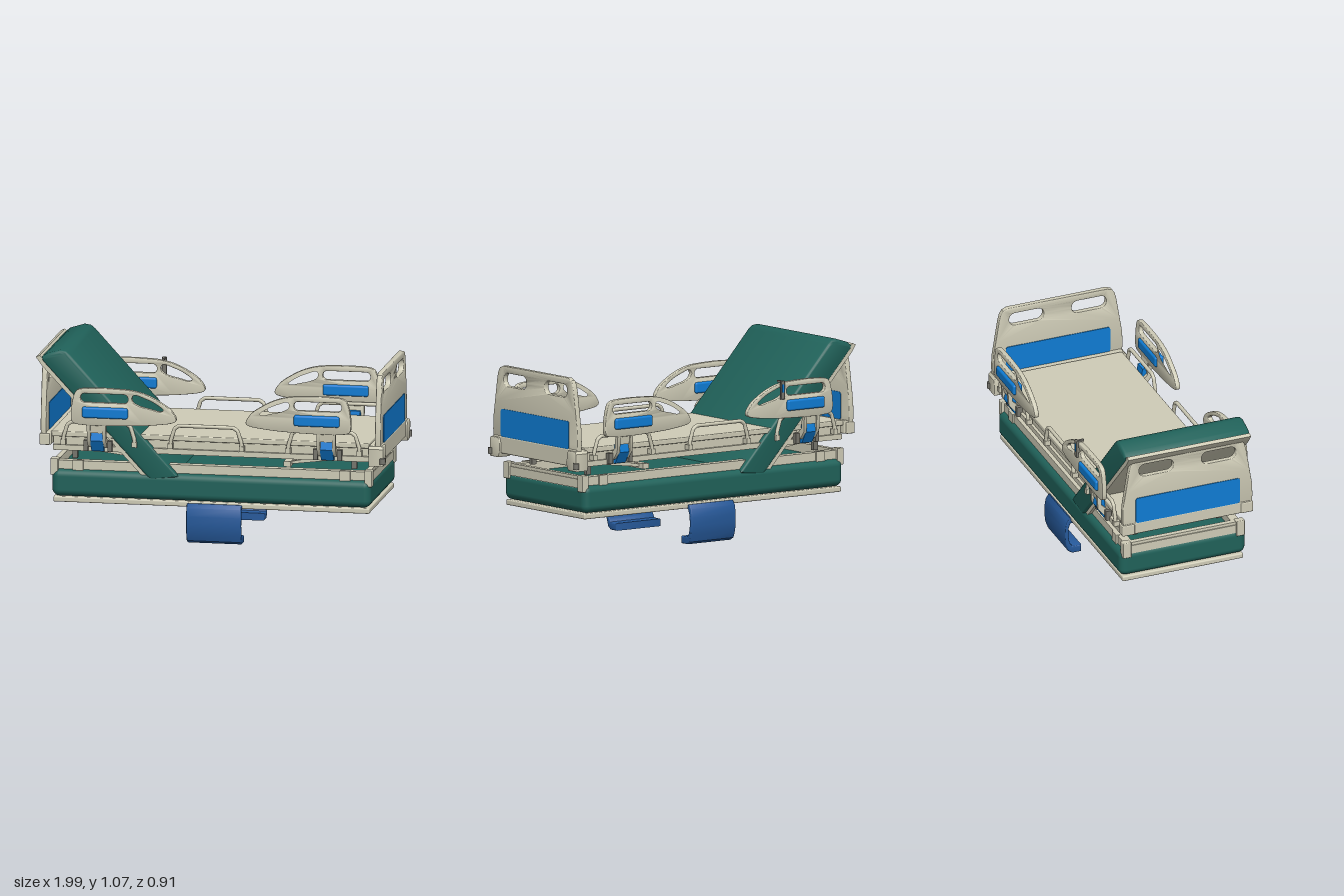
import * as THREE from 'three';
import { toCreasedNormals } from 'three/addons/utils/BufferGeometryUtils.js';
import { RoundedBoxGeometry } from 'three/addons/geometries/RoundedBoxGeometry.js';

const mat = (name, color) => {
  const m = new THREE.MeshStandardMaterial({ color });
  m.name = name;
  return m;
};

export function createModel() {
  const cream = mat('cream', 0xcfccb7), green = mat('mattress green', 0x20625a);
  const blue = mat('bright blue', 0x0f7cd4), navy = mat('strap blue', 0x26599a);
  const grey = mat('bracket grey', 0x77766e);
  const root = new THREE.Group();
  root.name = 'adjustableBed';

  const add = (name, geo, m) => {
    const mesh = new THREE.Mesh(geo, m);
    mesh.name = name;
    root.add(mesh);
    return mesh;
  };
  // box given by its limits, with optional rounded edges
  const box = (name, m, x0, x1, y0, y1, z0, z1, r = 0) => {
    const s = [x1 - x0, y1 - y0, z1 - z0];
    const g = r ? new RoundedBoxGeometry(...s, 4, r) : new THREE.BoxGeometry(...s);
    return add(name, g.translate((x0 + x1) / 2, (y0 + y1) / 2, (z0 + z1) / 2), m);
  };
  const poly = pts => new THREE.Shape(pts.map(p => new THREE.Vector2(...p)));
  const smooth = pts => {
    const c = new THREE.CatmullRomCurve3(pts.map(p => new THREE.Vector3(...p, 0)), true, 'centripetal');
    return new THREE.Shape(c.getPoints(64).slice(0, -1).map(p => new THREE.Vector2(p.x, p.y)));
  };
  const slot = (x0, x1, y0, y1, r) => {
    const s = new THREE.Path();
    s.absarc(x1 - r, y1 - r, r, 0, Math.PI / 2);
    s.absarc(x0 + r, y1 - r, r, Math.PI / 2, Math.PI);
    s.absarc(x0 + r, y0 + r, r, Math.PI, Math.PI * 1.5);
    s.absarc(x1 - r, y0 + r, r, Math.PI * 1.5, Math.PI * 2);
    return s;
  };
  const extrude = (shape, depth, bevel = 0) => {
    const g = new THREE.ExtrudeGeometry(shape, {
      depth: depth - 2 * bevel, bevelEnabled: bevel > 0, bevelSize: bevel, bevelOffset: -bevel,
      bevelThickness: bevel, bevelSegments: 4, curveSegments: 10,
    });
    return toCreasedNormals(g.translate(0, 0, bevel), 0.6);
  };
  // outline in (x, y), from z0 to z1
  const alongZ = (name, m, shape, z0, z1, bevel) => add(name, extrude(shape, z1 - z0, bevel).translate(0, 0, z0), m);
  // outline in (z, y), from x0 to x1
  const alongX = (name, m, shape, x0, x1, bevel) =>
    add(name, extrude(shape, x1 - x0, bevel).rotateY(-Math.PI / 2).translate(x1, 0, 0), m);

  // base board with flush discs underneath
  box('baseBoard', cream, -0.9, 0.9, 0.207, 0.238, -0.365, 0.365, 0.008);
  for (const x of [-0.71, 0.64]) for (const z of [-0.28, 0.28])
    add('baseDisc', new THREE.CylinderGeometry(0.022, 0.022, 0.008, 20).translate(x, 0.205, z), cream);

  // mattress and raised back section
  box('mattress', green, -0.907, 0.907, 0.24, 0.395, -0.38, 0.38, 0.04);
  alongZ('backMattress', green, poly([[-0.18, 0.375], [-0.8, 1.05], [-0.825, 1.07], [-0.86, 1.075],
    [-0.94, 1.05], [-0.965, 1.03], [-0.96, 1.01], [-0.345, 0.35]]), -0.38, 0.38, 0.02);
  alongZ('backBoard', cream, poly([[-0.975, 1.04], [-0.997, 1.03], [-0.965, 0.985], [-0.388, 0.37],
    [-0.345, 0.37], [-0.95, 1.015]]), -0.37, 0.37);

  // hooked strap around the base
  for (const s of [1, -1]) {
    const hook = [[0.3, 0.003], [0.355, 0.003], [0.378, 0.018], [0.393, 0.06], [0.399, 0.11], [0.398, 0.16],
      [0.39, 0.205], [0.372, 0.229], [0.34, 0.226], [0.34, 0.21], [0.362, 0.2], [0.375, 0.165],
      [0.377, 0.11], [0.37, 0.07], [0.355, 0.047], [0.3, 0.045]];
    alongX('strapHook', navy, poly(hook.map(([z, y]) => [z * s, y])), -0.138, 0.175, 0.008);
  }
  box('strapBand', navy, -0.135, 0.17, 0.208, 0.228, -0.36, 0.36);
  box('strapRib', navy, -0.135, -0.115, 0.195, 0.21, -0.365, 0.365);

  // lower frame
  for (const s of [1, -1]) {
    const zz = (a, b) => s > 0 ? [a, b] : [-b, -a];
    box('lowerSideRail', cream, -0.9, 0.9, 0.375, 0.443, ...zz(0.3, 0.35));
    box('lowerEndRail', cream, ...zz(0.87, 0.9), 0.365, 0.447, -0.33, 0.33);
    box('lowerEndRib', cream, ...zz(0.895, 0.906), 0.38, 0.43, -0.325, 0.325);
    for (const t of [1, -1]) {
      const xx = t > 0 ? [0.872, 0.915] : [-0.915, -0.872];
      box('lowerCorner', cream, ...xx, 0.36, 0.455, ...zz(0.318, 0.368), 0.005);
      box('railClip', cream, ...(t > 0 ? [0.73, 0.79] : [-0.79, -0.73]), 0.39, 0.447, ...zz(0.34, 0.36));
      // lifting linkages
      alongZ('liftArm', cream, poly([[0.42, 0.452], [0.42, 0.465], [0.66, 0.515], [0.72, 0.515], [0.72, 0.49]]
        .map(([x, y]) => [x * t, y])), ...zz(0.235, 0.26));
      box('liftPost', grey, ...(t > 0 ? [0.78, 0.81] : [-0.81, -0.78]), 0.44, 0.53, ...zz(0.24, 0.265));
    }
    box('liftCrossbar', cream, ...zz(0.4, 0.44), 0.445, 0.475, -0.3, 0.3);

    // upper frame sides
    box('upperLowerRail', cream, -0.9, 0.9, 0.505, 0.535, ...zz(0.325, 0.372));
    box('upperWeb', cream, -0.9, 0.9, 0.53, 0.59, ...zz(0.335, 0.355));
    box('upperEndBeam', cream, ...zz(0.86, 0.9), 0.5, 0.585, -0.35, 0.35);
  }
  box('deck', cream, -0.91, 0.9, 0.582, 0.612, -0.373, 0.373, 0.006);
  box('deckSpine', cream, -0.88, 0.88, 0.515, 0.585, -0.06, 0.06);

  // end boards with hand slots, blue panels and bumpers
  const endBoard = (name, x, s) => {
    const half = [[0.385, 0.56], [0.393, 0.64], [0.389, 0.72], [0.376, 0.8], [0.355, 0.93],
      [0.345, 0.97], [0.33, 0.993], [0.3, 1.005]];
    const shape = poly([...half, ...half.map(([z, y]) => [-z, y]).reverse()]);
    shape.holes.push(slot(0.085, 0.293, 0.893, 0.967, 0.034), slot(-0.293, -0.085, 0.893, 0.967, 0.034));
    alongX(name, cream, shape, x - 0.016, x + 0.016, 0.005);
    for (const f of [1, -1]) {
      const p = new THREE.Shape(slot(-0.315, 0.315, 0.605, 0.762, 0.015).getPoints(8));
      alongX(name + 'Panel', blue, p, x + f * 0.017 - 0.003, x + f * 0.017 + 0.003);
    }
  };
  endBoard('footBoard', 0.953, 1);
  endBoard('headBoard', -0.95, -1);
  box('footBumper', cream, 0.905, 0.975, 0.51, 0.608, -0.385, 0.385, 0.008);
  box('headBumper', cream, -0.968, -0.905, 0.535, 0.608, -0.385, 0.385, 0.008);
  for (const s of [1, -1]) {
    const zz = (a, b) => s > 0 ? [a, b] : [-b, -a];
    alongX('footCorner', cream, poly([[0.31, 0.515], [0.325, 0.487], [0.398, 0.487], [0.402, 0.585],
      [0.39, 0.6], [0.325, 0.6], [0.312, 0.58]].map(([z, y]) => [z * s, y])), 0.9, 0.986, 0.005);
    box('headCorner', cream, -0.972, -0.915, 0.535, 0.6, ...zz(0.32, 0.395), 0.006);
    add('cornerRoller', new THREE.CylinderGeometry(0.016, 0.016, 0.036, 20).translate(0.981, 0.517, s * 0.394), grey);
  }

  // tube hoops along both sides
  for (const s of [1, -1]) for (const x of [-0.635, -0.025, 0.645]) {
    const path = new THREE.CurvePath();
    const pts = [[-0.205, 0.54], [-0.2, 0.59], [-0.18, 0.655], [-0.155, 0.673],
      [0.155, 0.673], [0.18, 0.655], [0.2, 0.59], [0.205, 0.54]]
      .map(([u, y]) => new THREE.Vector3(x + u, y, s * 0.385));
    for (let i = 1; i < pts.length; i++) path.add(new THREE.LineCurve3(pts[i - 1], pts[i]));
    add('sideHoop', new THREE.TubeGeometry(path, 60, 0.011, 10), cream);
    for (const u of [-0.203, 0.203])
      box('hoopFoot', cream, x + u - 0.014, x + u + 0.014, 0.54, 0.57, s * 0.38 - 0.018, s * 0.38 + 0.018);
  }

  // four guard rails, each with handle, latch and arms
  for (const s of [1, -1]) for (const t of [1, -1]) {
    const X = x => 0.0125 + t * (x - 0.0125);
    const mx = pts => pts.map(([x, y]) => [X(x), y]);
    const zz = (a, b) => s > 0 ? [a, b] : [-b, -a];
    const xx = (a, b) => t > 0 ? [X(a), X(b)] : [X(b), X(a)];
    const guard = smooth(mx([[0.21, 0.72], [0.24, 0.768], [0.29, 0.805], [0.36, 0.843], [0.43, 0.866], [0.5, 0.876],
      [0.74, 0.876], [0.777, 0.864], [0.795, 0.83], [0.81, 0.72], [0.803, 0.684], [0.775, 0.67],
      [0.43, 0.672], [0.3, 0.684], [0.235, 0.695], [0.215, 0.705]]));
    guard.holes.push(slot(...xx(0.485, 0.755), 0.797, 0.848, 0.024));
    guard.holes.push(smooth(mx([[0.285, 0.768], [0.33, 0.803], [0.39, 0.83], [0.45, 0.846], [0.462, 0.83],
      [0.455, 0.805], [0.42, 0.785], [0.36, 0.77], [0.3, 0.758]])));
    alongZ('guardRail', cream, guard, ...zz(0.413, 0.44), 0.004);
    box('guardHandle', blue, ...xx(0.485, 0.745), 0.71, 0.772, ...zz(0.4, 0.456), 0.012);

    const prof = pts => poly(pts.map(([z, y]) => [z * s, y]));
    alongX('guardLatch', blue, prof([[0.37, 0.51], [0.388, 0.51], [0.425, 0.575], [0.412, 0.632], [0.385, 0.632]]),
      ...xx(0.63, 0.702));
    const arm = [[0.437, 0.69], [0.415, 0.69], [0.408, 0.6], [0.365, 0.56], [0.365, 0.53], [0.395, 0.535], [0.43, 0.58]];
    for (const x of [0.612, 0.7]) alongX('guardArm', cream, prof(arm), ...xx(x, x + 0.02));
    alongX('guardArmPlate', cream, prof([[0.432, 0.69], [0.415, 0.69], [0.405, 0.62], [0.424, 0.62]]), ...xx(0.62, 0.712));
    for (const x of [0.585, 0.722]) box('latchBracket', grey, ...xx(x, x + 0.025), 0.51, 0.57, ...zz(0.36, 0.392));
  }

  // hand control clipped to the rear head-side guard
  box('handControl', grey, -0.437, -0.41, 0.78, 0.885, -0.455, -0.441, 0.004);
  box('handControlClip', grey, -0.43, -0.417, 0.873, 0.885, -0.45, -0.405);
  box('handControlKeys', blue, -0.431, -0.416, 0.82, 0.865, -0.458, -0.454);
  return root;
}
